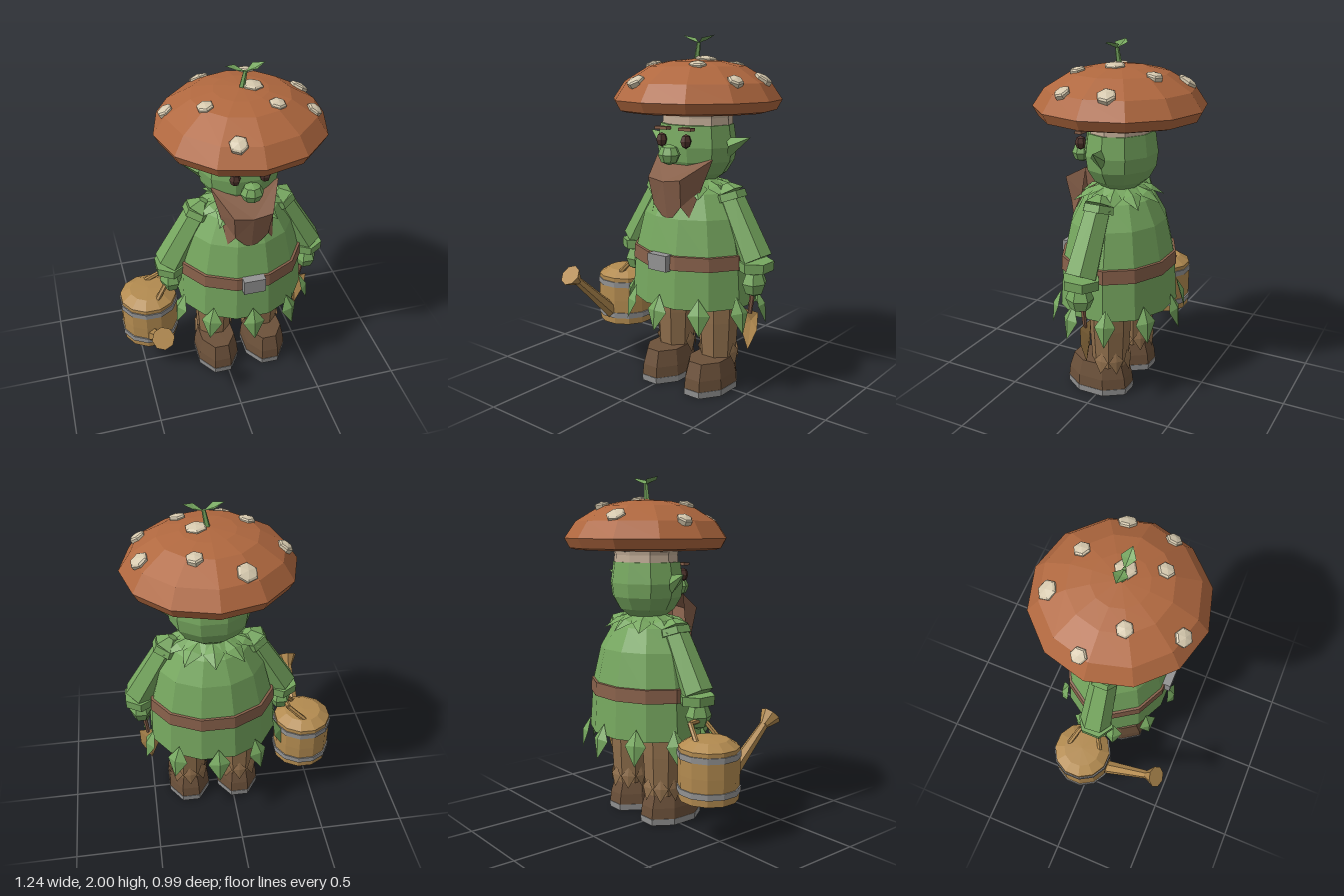
import * as THREE from 'three';

const mat = (name, color) => {
  const m = new THREE.MeshStandardMaterial({ color, flatShading: true, side: THREE.DoubleSide });
  m.name = name;
  return m;
};
const V = (x, y, z) => new THREE.Vector3(x, y, z);
const CX = 0.118; // body axis

export function createModel() {
  const root = new THREE.Group();
  root.name = 'mushroomGardener';
  const M = {
    green: mat('leafGreen', 0x76a75f), cap: mat('capRust', 0xb0683f), spot: mat('spotCream', 0xd6c9ae),
    band: mat('gillBeige', 0xc0ab95), cloth: mat('trouserBrown', 0x906f4c), boot: mat('bootBrown', 0x6c513a),
    leather: mat('leatherBrown', 0x87604a), metal: mat('metalGrey', 0x939393),
    wood: mat('woodTan', 0xb38b50), eye: mat('eyeDark', 0x4e332c),
  };

  const add = (name, geo, m, parent = root) => {
    const mesh = new THREE.Mesh(geo, m);
    mesh.name = name;
    parent.add(mesh);
    return mesh;
  };
  const lathe = (name, pts, n, m, parent, x = 0, z = 0, sz = 1, turn = 0) => {
    const g = new THREE.LatheGeometry(pts.map(p => new THREE.Vector2(...p)), n);
    g.rotateY(turn).scale(1, 1, sz);
    const mesh = add(name, g, m, parent);
    mesh.position.set(x, 0, z);
    return mesh;
  };
  // tapered rod between two points
  const rod = (name, a, b, ra, rb, n, m, parent) => {
    const d = b.clone().sub(a);
    const mesh = add(name, new THREE.CylinderGeometry(rb, ra, d.length(), n), m, parent);
    mesh.position.copy(a).addScaledVector(d, 0.5);
    mesh.quaternion.setFromUnitVectors(V(0, 1, 0), d.normalize());
    return mesh;
  };
  const faces = (pts, tris) => {
    const g = new THREE.BufferGeometry();
    g.setAttribute('position', new THREE.Float32BufferAttribute(pts.flat(), 3));
    g.setIndex(tris.flat());
    const flat = g.toNonIndexed();
    flat.computeVertexNormals();
    return flat;
  };
  // folded diamond leaf hanging along -y
  const leafGeo = (len, w, ridge, mid = 0.45) => faces(
    [[0, 0, 0], [-w, -mid * len, 0], [w, -mid * len, 0], [0, -mid * len, ridge], [0, -len, 0]],
    [[0, 1, 3], [1, 4, 3], [4, 2, 3], [2, 0, 3]]);
  const leafRing = (name, n, r, y, tilt, geo, m, parent, from = 0, step = Math.PI * 2 / n) => {
    for (let i = 0; i < n; i++) {
      const pivot = new THREE.Group();
      pivot.rotation.y = from + i * step;
      const leaf = add(name, geo, m, pivot);
      leaf.position.set(0, y, r);
      leaf.rotation.x = -tilt;
      parent.add(pivot);
    }
  };

  // mushroom cap with gills and spots
  const capTop = [[0.475, 1.655], [0.41, 1.75], [0.27, 1.835], [0.15, 1.862], [0, 1.875]];
  lathe('cap', [[0.41, 1.59], [0.445, 1.6], ...capTop], 12, M.cap, root, CX, -0.02);
  lathe('gills', [[0, 1.58], [0.2, 1.58], [0.415, 1.592]], 12, M.band, root, CX, -0.02);
  const spots = [[-0.03, -0.345, 0.057], [0.215, -0.265, 0.046], [0.48, -0.13, 0.052], [-0.275, -0.073, 0.045],
    [-0.1, 0.09, 0.046], [0.18, -0.02, 0.06], [0.26, 0.16, 0.046], [0.475, 0.125, 0.045], [0, 0.355, 0.05]];
  for (const [x, z, r] of spots) {
    const dx = x - CX, dz = z + 0.02, d = Math.hypot(dx, dz);
    const i = Math.max(0, capTop.findIndex(p => p[0] <= d) - 1);
    const [[r0, y0], [r1, y1]] = [capTop[i], capTop[i + 1]];
    const y = y0 + (y1 - y0) * (d - r0) / (r1 - r0);
    const s = lathe('capSpot', [[r * 0.95, -0.015], [r, 0.01], [r * 0.8, 0.018], [0, 0.026]], 6, M.spot, root);
    s.position.set(x, y - 0.004, z);
    s.quaternion.setFromUnitVectors(V(0, 1, 0), V(dx / d * (y1 - y0), r0 - r1, dz / d * (y1 - y0)).normalize());
  }

  // sprout on top
  rod('sproutStem', V(0.12, 1.86, -0.015), V(0.138, 1.962, -0.01), 0.017, 0.011, 5, M.green);
  for (const s of [-1, 1]) {
    add('sproutLeaf', faces(
      [[0.138, 1.958, -0.01], [0.138 + s * 0.05, 1.985, 0.03], [0.138 + s * 0.05, 1.985, -0.05],
        [0.138 + s * 0.05, 1.972, -0.01], [0.138 + s * 0.107, 2, -0.01]],
      [[0, 1, 3], [1, 4, 3], [4, 2, 3], [2, 0, 3]]), M.green);
  }

  // head
  lathe('head', [[0, 1.18], [0.11, 1.2], [0.18, 1.25], [0.225, 1.32], [0.237, 1.4], [0.218, 1.52], [0, 1.53]],
    10, M.green, root, CX, -0.025, 0.85, Math.PI / 10);
  lathe('headBand', [[0.212, 1.505], [0.208, 1.56], [0.216, 1.6]], 10, M.band, root, CX, -0.03, 0.83, Math.PI / 10);
  const nose = add('nose', new THREE.SphereGeometry(0.066, 8, 4), M.green);
  nose.position.set(CX, 1.367, 0.225);
  nose.scale.set(1, 0.88, 0.85);
  for (const s of [-1, 1]) {
    const eye = add('eye', new THREE.SphereGeometry(0.04, 6, 4), M.eye);
    eye.position.set(CX + s * 0.084, 1.44, 0.185);
    eye.scale.set(0.8, 1, 0.8);
    add('brow', new THREE.BoxGeometry(0.085, 0.016, 0.04), M.leather).position.set(CX + s * 0.083, 1.504, 0.178);
    add('ear', faces(
      [[CX + s * 0.2, 1.45, -0.02], [CX + s * 0.21, 1.33, -0.02], [CX + s * 0.25, 1.41, 0.03],
        [CX + s * 0.24, 1.4, -0.05], [CX + s * 0.352, 1.462, -0.04]],
      s > 0 ? [[0, 2, 4], [2, 1, 4], [1, 3, 4], [3, 0, 4]] : [[2, 0, 4], [1, 2, 4], [3, 1, 4], [0, 3, 4]]), M.green);
  }

  // beard: sloping top shelf, front plate and two side points
  const half = s => [[s * 0.195, 1.34, 0.09], [s * 0.11, 1.24, 0.272], [s * 0.155, 1.18, 0.14],
    [s * 0.13, 1.03, 0.215], [s * 0.095, 1.09, 0.245]];
  const beard = add('beard', faces([...half(-1), ...half(1), [0, 0.985, 0.24], [0, 1.225, 0.28]],
    [[0, 1, 11], [0, 11, 5], [5, 11, 6], [1, 4, 11], [4, 10, 11], [10, 9, 11], [9, 6, 11],
      [0, 2, 1], [2, 3, 4], [2, 4, 1], [5, 6, 7], [7, 9, 8], [7, 6, 9]]), M.leather);
  beard.position.x = CX;

  // coat, belt, collar and leafy hem
  const torso = new THREE.Group();
  torso.name = 'torso';
  torso.position.set(CX, 0, -0.012);
  torso.scale.z = 0.86;
  root.add(torso);
  const turn = Math.PI / 12;
  lathe('coat', [[0, 0.58], [0.385, 0.53], [0.365, 0.8], [0.31, 1.02], [0.23, 1.15], [0.12, 1.22]],
    12, M.green, torso, 0, 0, 1, turn);
  lathe('belt', [[0.365, 0.745], [0.378, 0.748], [0.373, 0.825], [0.355, 0.828]], 12, M.leather, torso, 0, 0, 1, turn);
  add('buckle', new THREE.BoxGeometry(0.128, 0.09, 0.05), M.metal).position.set(CX, 0.785, 0.31);
  leafRing('collarLeaf', 10, 0.12, 1.215, 1.1, leafGeo(0.19, 0.06, 0.02), M.green, torso);
  leafRing('hemLeaf', 10, 0.377, 0.6, 0.3, leafGeo(0.21, 0.066, 0.03), M.green, torso);

  // arms
  for (const s of [-1, 1]) {
    const arm = new THREE.Group();
    arm.name = s < 0 ? 'rightArm' : 'leftArm';
    root.add(arm);
    const top = V(CX + s * 0.245, 1.13, -0.01), wrist = V(CX + s * 0.425, 0.8, 0);
    rod('sleeve', top, wrist, 0.075, 0.094, 6, M.green, arm);
    rod('shoulderPad', V(CX + s * 0.25, 1.11, -0.01), V(CX + s * 0.235, 1.15, -0.01), 0.094, 0.09, 6, M.green, arm);
    rod('shoulderTop', V(CX + s * 0.235, 1.15, -0.01), V(CX + s * 0.21, 1.195, -0.01), 0.088, 0.03, 6, M.green, arm);
    rod('cuff', V(CX + s * 0.423, 0.745, 0), V(CX + s * 0.423, 0.798, 0), 0.107, 0.11, 6, M.green, arm).scale.x = 0.9;
    const hand = add('hand', new THREE.SphereGeometry(0.08, 6, 4), M.green, arm);
    hand.position.set(CX + s * 0.425, 0.675, 0.01);
    hand.scale.set(0.85, 1, 1);
  }

  // trowel in the left hand
  rod('trowelHandle', V(0.51, 0.49, 0), V(0.53, 0.64, 0), 0.012, 0.016, 6, M.leather);
  add('trowelBlade', faces([[0.44, 0.51, 0], [0.565, 0.505, 0], [0.56, 0.4, 0], [0.5, 0.27, 0], [0.452, 0.39, 0],
    [0.504, 0.44, -0.025]], [[1, 0, 5], [2, 1, 5], [3, 2, 5], [4, 3, 5], [0, 4, 5]]), M.wood);

  // legs and boots
  for (const x of [-0.038, 0.274]) {
    const leg = new THREE.Group();
    leg.name = 'leg';
    leg.position.set(x, 0, 0);
    root.add(leg);
    lathe('trouserLeg', [[0.104, 0.17], [0.118, 0.4], [0.122, 0.62]], 8, M.cloth, leg, 0, -0.03, 1, Math.PI / 8);
    const rag = new THREE.Group();
    rag.position.z = -0.03;
    leg.add(rag);
    leafRing('trouserTatter', 5, 0.106, 0.27, 0.12, leafGeo(0.13, 0.045, 0.008, 0.4), M.cloth, rag,
      Math.PI / 2, Math.PI / 4);
    lathe('bootUpper', [[0.137, 0.035], [0.132, 0.1], [0.112, 0.192], [0, 0.195]], 8, M.boot, leg, 0, 0.035, 1.48, Math.PI / 8);
    lathe('bootSole', [[0, 0], [0.137, 0], [0.139, 0.038], [0, 0.038]], 8, M.metal, leg, 0, 0.035, 1.48, Math.PI / 8);
  }

  // watering can
  const can = new THREE.Group();
  can.name = 'wateringCan';
  can.position.set(-0.445, 0, -0.037);
  root.add(can);
  lathe('canBody', [[0, 0.25], [0.168, 0.25], [0.172, 0.4], [0.17, 0.545], [0.11, 0.583], [0, 0.588]],
    12, M.wood, can, 0, 0, 1, turn);
  for (const y of [0.29, 0.488]) {
    lathe('canHoop', [[0.165, y], [0.177, y], [0.177, y + 0.033], [0.165, y + 0.033]], 12, M.metal, can, 0, 0, 1, turn);
  }
  rod('spout', V(0, 0.32, 0.14), V(0, 0.605, 0.45), 0.044, 0.024, 6, M.wood, can);
  rod('spoutRose', V(0, 0.585, 0.43), V(0, 0.635, 0.488), 0.025, 0.064, 8, M.wood, can);
  const grip = [V(0, 0.57, -0.09), V(0.1, 0.655, -0.05), V(0.11, 0.66, 0.06), V(0.04, 0.57, 0.1)];
  for (let i = 0; i < 3; i++) rod('canHandle', grip[i], grip[i + 1], 0.015, 0.015, 6, M.wood, can);

  return root;
}
